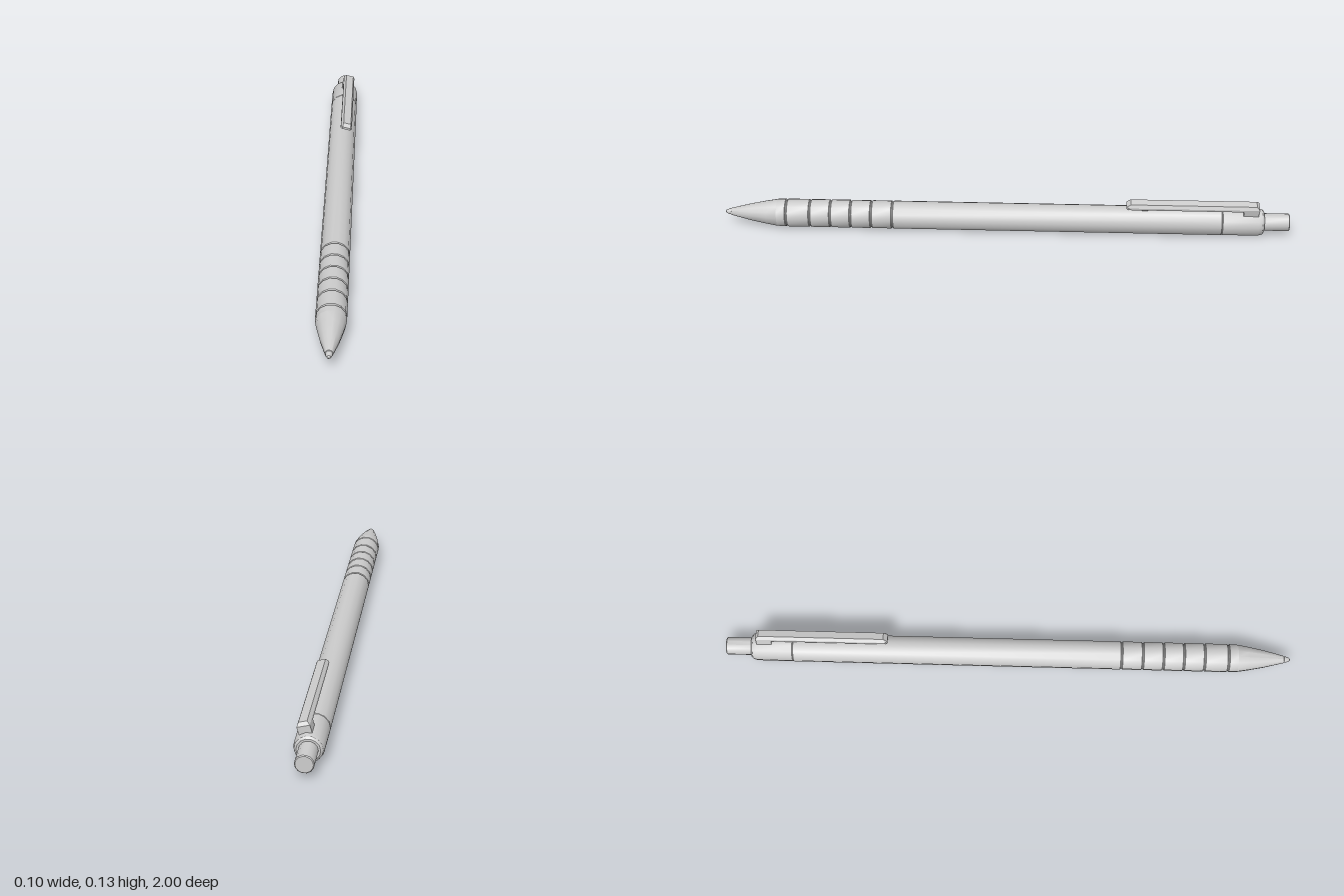
import * as THREE from 'three';
import { toCreasedNormals } from 'three/addons/utils/BufferGeometryUtils.js';
import { ConvexGeometry } from 'three/addons/geometries/ConvexGeometry.js';

const SIDES = 14;
const R = 0.05;

export function createModel() {
  const model = new THREE.Group();
  model.name = 'pen';
  const grey = new THREE.MeshStandardMaterial({ color: 0xcccccc });

  // Everything is built around the z axis, then lifted onto the ground.
  const body = new THREE.Group();
  body.name = 'body';
  body.position.y = R;
  model.add(body);

  const add = (name, geometry, parent) => {
    const mesh = new THREE.Mesh(geometry, grey);
    mesh.name = name;
    parent.add(mesh);
  };

  // Turned part: profile is a list of [radius, z] from back to front.
  const turned = (name, profile) => {
    const points = profile.map(([r, z]) => new THREE.Vector2(r, z));
    const geometry = new THREE.LatheGeometry(points, SIDES, Math.PI / 2);
    geometry.rotateX(Math.PI / 2);
    add(name, toCreasedNormals(geometry, 0.52), body);
  };

  // Push button and the rear cap
  turned('pushButton', [[0, -1], [0.028, -1], [0.031, -0.997], [0.031, -0.9]]);
  turned('rearCap', [[0, -0.91], [0.038, -0.91], [0.045, -0.904], [0.049, -0.89], [R, -0.764], [0.047, -0.762]]);

  // Long barrel
  turned('barrel', [[0.047, -0.762], [R, -0.76], [R, 0.397], [0.047, 0.4]]);

  // Grip: rings separated by narrow grooves
  const grooves = [0.4, 0.475, 0.548, 0.62, 0.693, 0.777];
  for (let i = 0; i < grooves.length - 1; i++) {
    const a = grooves[i], b = grooves[i + 1];
    turned('gripRing' + (i + 1), [[0.046, a], [0.046, a + 0.003], [R, a + 0.005], [R, b - 0.003], [0.046, b]]);
  }

  // Collar, cone and writing tip
  turned('collar', [[0.046, 0.777], [0.046, 0.78], [R, 0.782], [0.0485, 0.812]]);
  turned('noseCone', [[0.0485, 0.812], [0.042, 0.85], [0.031, 0.905], [0.013, 0.977], [0.009, 0.979]]);
  turned('tip', [[0.0115, 0.975], [0.0105, 0.985], [0.006, 0.996], [0, 1]]);

  // Pocket clip, turned a little towards the left side
  const clip = new THREE.Group();
  clip.name = 'clip';
  clip.rotation.z = -0.25;
  body.add(clip);

  // Solid between two or more rectangles [halfWidth, y, zBack, zFront]
  const solid = (name, layers) => {
    const points = [];
    for (const [w, y, z0, z1] of layers)
      for (const x of [-w, w]) for (const z of [z0, z1]) points.push(new THREE.Vector3(x, y, z));
    add(name, new ConvexGeometry(points), clip);
  };

  // Arm with a hollow underside
  const arm = new THREE.Shape();
  [[-0.021, 0.064], [-0.014, 0.064], [-0.014, 0.073], [0.014, 0.073], [0.014, 0.064],
    [0.021, 0.064], [0.021, 0.072], [0.014, 0.083], [-0.014, 0.083], [-0.021, 0.072]]
    .forEach(([x, y], i) => (i ? arm.lineTo(x, y) : arm.moveTo(x, y)));
  const armGeometry = new THREE.ExtrudeGeometry(arm, { depth: 0.39, bevelEnabled: false });
  armGeometry.translate(0, 0, -0.835);
  add('clipArm', armGeometry, clip);

  // Rounded front end, rear head, post and the gripping bump
  solid('clipNose', [
    [0.021, 0.064, -0.445, -0.434], [0.015, 0.064, -0.445, -0.425],
    [0.021, 0.072, -0.445, -0.434], [0.015, 0.072, -0.445, -0.425],
    [0.014, 0.083, -0.445, -0.44],
  ]);
  solid('clipHead', [
    [0.021, 0.064, -0.89, -0.835], [0.021, 0.072, -0.89, -0.835], [0.014, 0.083, -0.88, -0.835],
  ]);
  solid('clipPost', [[0.021, 0.035, -0.888, -0.835], [0.021, 0.066, -0.888, -0.835]]);
  solid('clipBump', [[0.011, 0.053, -0.5, -0.48], [0.013, 0.074, -0.52, -0.455]]);

  return model;
}
